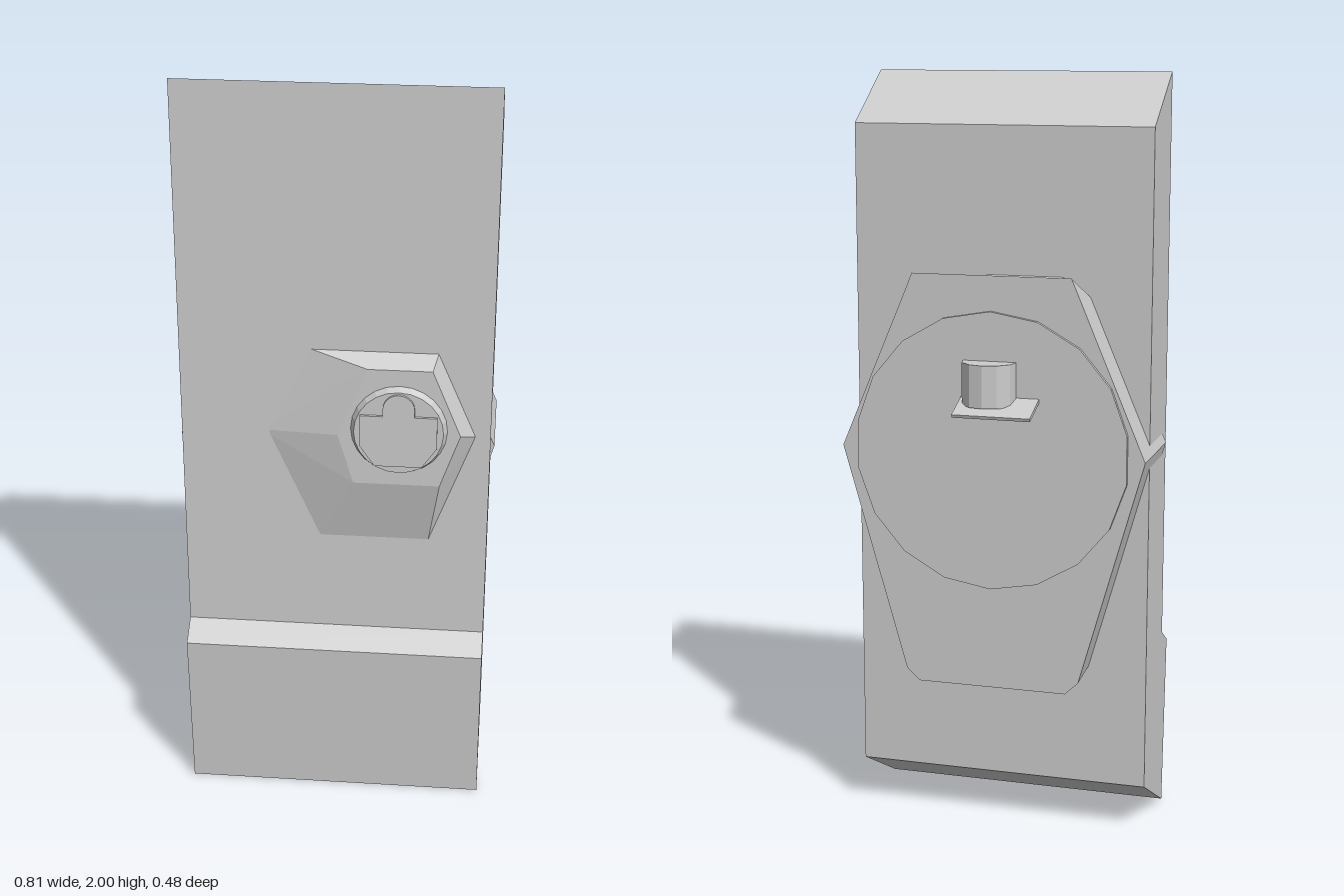
import * as THREE from 'three';
import { ConvexGeometry } from 'three/addons/geometries/ConvexGeometry.js';

const material = new THREE.MeshStandardMaterial({ color: 0xcccccc, flatShading: true });
const V = (x, y, z) => new THREE.Vector3(x, y, z);

export function createModel() {
  const group = new THREE.Group();
  const add = (name, geometry) => {
    const mesh = new THREE.Mesh(geometry, material);
    mesh.name = name;
    group.add(mesh);
    return mesh;
  };
  const shapeOf = (pts) => new THREE.Shape(pts.map(([a, b]) => new THREE.Vector2(a, b)));
  const extrude = (shape, depth) =>
    new THREE.ExtrudeGeometry(shape, { depth, bevelEnabled: false, curveSegments: 6 });
  // Side profile given as [z, y], extruded from x0 to x1
  const sideExtrude = (pts, x0, x1) =>
    extrude(shapeOf(pts), x1 - x0).rotateY(-Math.PI / 2).translate(x1, 0, 0);

  // Tall slab with sloped ends and a thicker foot
  add('body', sideExtrude(
    [[0.2, 0], [-0.04, 0.13], [-0.04, 1.87], [0.165, 2], [0.165, 0.5], [0.232, 0.46]], -0.395, 0.395));

  // Hexagonal back housing; its side corners break through the body as thin ridges
  const housing = [];
  for (const s of [-1, 1]) {
    housing.push(
      V(s * 0.21, 1.5, -0.14), V(s * 0.405, 1.04, -0.14), V(s * 0.235, 0.44, -0.14), V(s * 0.2, 0.407, -0.14),
      V(s * 0.276, 1.344, 0.12), V(s * 0.405, 1.04, 0.12), V(s * 0.246, 0.48, 0.12), V(s * 0.211, 0.447, 0.12));
  }
  add('backHousing', new ConvexGeometry(housing));
  add('topTab', sideExtrude([[-0.03, 1.4], [-0.082, 1.4], [-0.082, 1.465], [-0.03, 1.495]], -0.165, 0.04));

  // Round plate on the back
  add('backDisc', new THREE.CylinderGeometry(0.365, 0.365, 0.02, 18).rotateX(Math.PI / 2))
    .position.set(0, 1.045, -0.141);

  // Rounded knob over a tilted ledge
  const knob = shapeOf([[-0.07, 0.14], [0.07, 0.14], [0.07, 0.155], [0.064, 0.185], [0.036, 0.213],
    [0, 0.222], [-0.036, 0.213], [-0.064, 0.185], [-0.07, 0.155]]);
  add('backKnob', extrude(knob, 0.11).rotateX(-Math.PI / 2)).position.y = 1.173;
  add('backLedge', sideExtrude(
    [[-0.14, 1.184], [-0.237, 1.15], [-0.24, 1.158], [-0.14, 1.196]], -0.13, 0.075));

  // Faceted front boss: [x, y] of the base and of the raised face
  const base = [[-0.075, 1.317], [0.26, 1.317], [0.36, 1.085], [0.24, 0.76], [-0.05, 0.76], [-0.19, 1.08]];
  const face = [[0.085, 1.287], [0.247, 1.287], [0.32, 1.11], [0.27, 0.965], [0.05, 0.965], [0.01, 1.1]];
  add('frontBoss', new ConvexGeometry([
    ...base.map(([x, y]) => V(x, y, 0.16)), ...face.map(([x, y]) => V(x, y, 0.212))]));

  // Front dial with chamfered rim
  add('frontDial', new THREE.CylinderGeometry(0.113, 0.125, 0.024, 24).rotateX(Math.PI / 2))
    .position.set(0.165, 1.122, 0.218);

  // Raised lug with a rounded head on the dial
  const lug = shapeOf([[-0.06, -0.095], [0.06, -0.095], [0.097, -0.04], [0.097, 0.045], [0.04, 0.045], [0.04, 0.065]]);
  lug.absarc(0, 0.065, 0.04, 0, Math.PI, false);
  lug.lineTo(-0.04, 0.045);
  lug.lineTo(-0.097, 0.045);
  lug.lineTo(-0.097, -0.04);
  add('dialLug', extrude(lug, 0.018)).position.set(0.165, 1.125, 0.219);

  return group;
}
